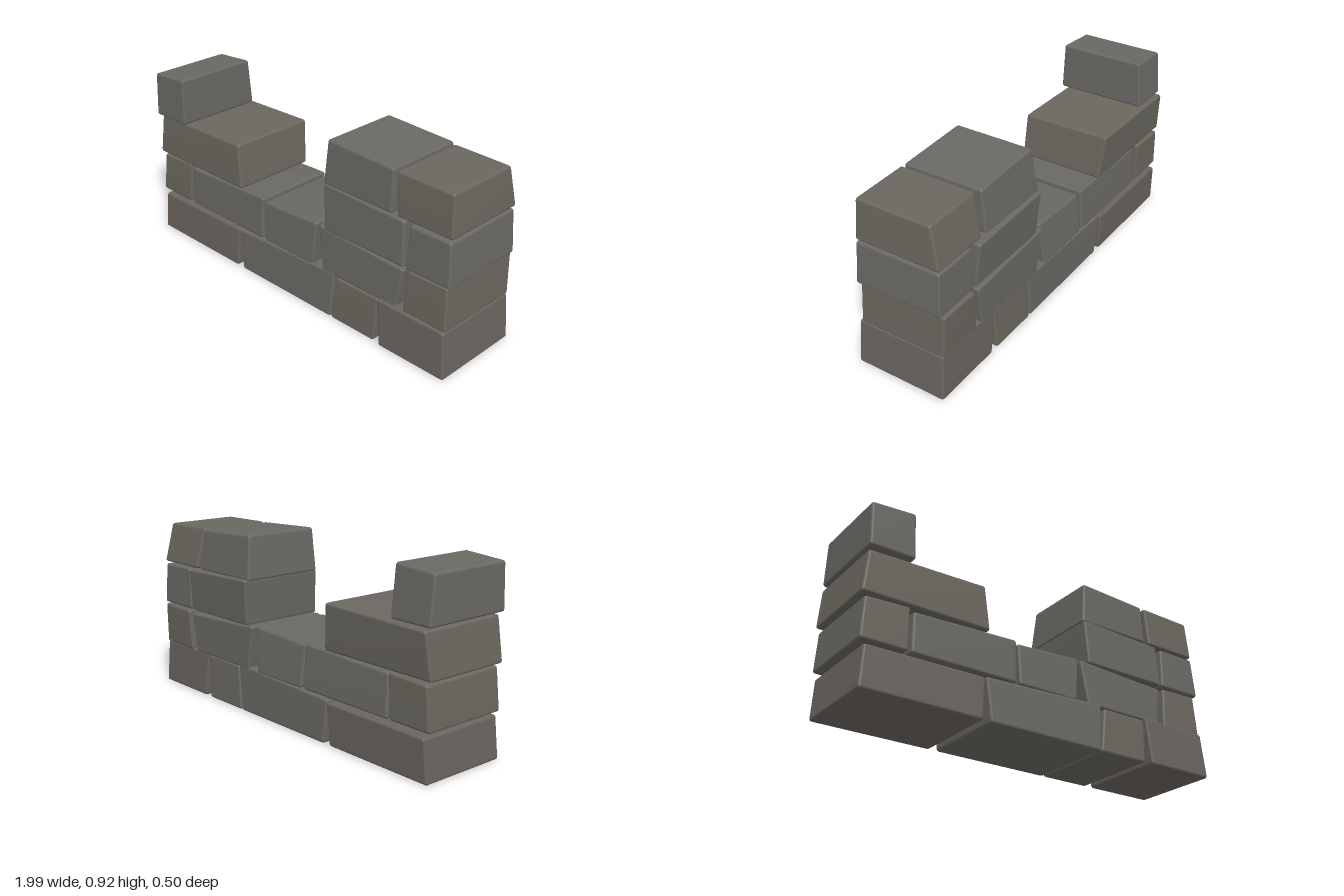
import * as THREE from 'three';
import { RoundedBoxGeometry } from 'three/addons/geometries/RoundedBoxGeometry.js';
import { mergeVertices } from 'three/addons/utils/BufferGeometryUtils.js';

const { lerp } = THREE.MathUtils;

function stoneMaterial(name, color) {
  const material = new THREE.MeshStandardMaterial({ color });
  material.name = name;
  return material;
}
const grey = stoneMaterial('greyStone', 0x6a6863);
const warm = stoneMaterial('warmStone', 0x6a675f);
const brown = stoneMaterial('brownStone', 0x6a645e);

// A bevelled block, skewed so each side leans by its own amount.
// leanL, leanR: sideways shift of the top corners; topL, topR: heights at the ends
// front: z at the foot of the front; backTop: z at the top of the back
function stoneGeometry(base, front, left, right, leanL, leanR, topL, topR, backTop) {
  const w = right - left, h = topL - base, back = -0.23, d = front - back;
  const geometry = new RoundedBoxGeometry(w, h, d, 2, 0.013);
  geometry.deleteAttribute('normal');
  geometry.deleteAttribute('uv');
  const p = geometry.attributes.position;
  for (let i = 0; i < p.count; i++) {
    const u = p.getX(i) / w + 0.5, v = p.getY(i) / h + 0.5, t = p.getZ(i) / d + 0.5;
    p.setXYZ(i,
      lerp(left + leanL * v, right + leanR * v, u),
      lerp(base, lerp(topL, topR, u), v),
      lerp(lerp(back, backTop, v), front - 0.01 * v, t));
  }
  const smooth = mergeVertices(geometry, 1e-5);
  smooth.computeVertexNormals();
  return smooth;
}

// A row of stones sharing one base height and front plane
function course(name, base, front, stones) {
  const row = new THREE.Group();
  row.name = name;
  stones.forEach(([material, ...shape], i) => {
    const stone = new THREE.Mesh(stoneGeometry(base, front, ...shape), material);
    stone.name = `${name}Stone${i + 1}`;
    row.add(stone);
  });
  return row;
}

export function createModel() {
  const wall = new THREE.Group();
  wall.name = 'ruinedStoneWall';
  // Each stone: material, left, right, leanL, leanR, topL, topR, backTop
  wall.add(
    course('bottomCourse', 0, 0.24, [
      [brown, -0.99, -0.375, 0.015, 0.01, 0.21, 0.215, -0.24],
      [grey, -0.335, 0.295, -0.025, 0.02, 0.22, 0.245, -0.23],
      [warm, 0.3, 0.575, 0.03, 0.015, 0.23, 0.23, -0.22],
    ]),
    course('bottomEnd', 0, 0.25, [
      [brown, 0.615, 0.995, -0.025, -0.02, 0.24, 0.235, -0.225],
    ]),
    course('secondCourse', 0.23, 0.228, [
      [warm, -0.995, -0.76, 0.015, 0.005, 0.44, 0.45, -0.235],
      [grey, -0.745, -0.19, 0.005, 0.005, 0.435, 0.455, -0.215],
      [grey, -0.17, 0.165, -0.01, 0.02, 0.44, 0.46, -0.205],
      [grey, 0.235, 0.69, -0.04, 0.03, 0.46, 0.435, -0.235],
      [warm, 0.73, 0.975, 0.015, -0.01, 0.445, 0.45, -0.24],
    ]),
    course('thirdCourse', 0.453, 0.228, [
      [warm, -1, -0.34, 0.025, -0.025, 0.67, 0.685, -0.25],
      [grey, 0.245, 0.725, -0.015, -0.01, 0.69, 0.675, -0.25],
      [grey, 0.735, 0.985, 0.01, -0.015, 0.67, 0.67, -0.225],
    ]),
    course('leftBattlement', 0.678, 0.245, [
      [grey, -0.985, -0.755, 0, -0.005, 0.905, 0.922, -0.21],
    ]),
    course('rightBattlement', 0.682, 0.215, [
      [grey, 0.225, 0.64, 0.02, -0.005, 0.908, 0.892, -0.205],
      [warm, 0.67, 0.975, -0.015, -0.015, 0.893, 0.888, -0.185],
    ]),
  );
  return wall;
}
